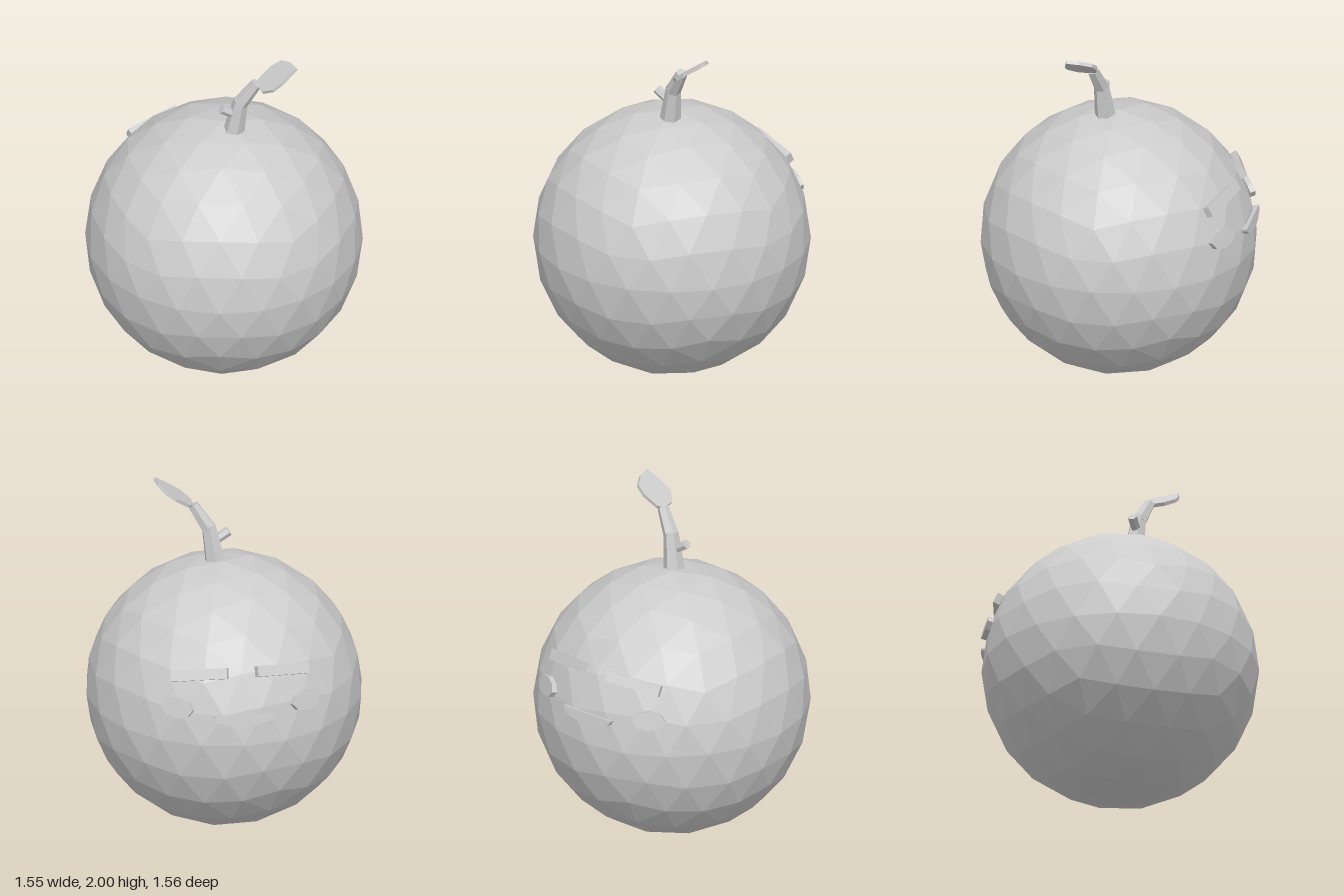
import * as THREE from 'three';

const V = (x, y, z) => new THREE.Vector3(x, y, z);
const R = 0.777;

export function createModel() {
  const group = new THREE.Group();
  const grey = new THREE.MeshStandardMaterial({ color: 0xcccccc, flatShading: true });
  grey.name = 'plain grey';

  const add = (name, geometry) => {
    const mesh = new THREE.Mesh(geometry, grey);
    mesh.name = name;
    group.add(mesh);
    return mesh;
  };
  // Place a mesh with its local x along `along` and local z along `normal`
  const orient = (mesh, pos, along, normal) => {
    const x = along.clone().normalize();
    const z = normal.clone().addScaledVector(x, -normal.dot(x)).normalize();
    mesh.quaternion.setFromRotationMatrix(new THREE.Matrix4().makeBasis(x, z.clone().cross(x), z));
    mesh.position.copy(pos);
  };
  // Tapered prism between two points
  const limb = (name, a, b, r0, r1, sides) => {
    const dir = b.clone().sub(a);
    const mesh = add(name, new THREE.CylinderGeometry(r1, r0, dir.length(), sides));
    mesh.quaternion.setFromUnitVectors(V(0, 1, 0), dir.normalize());
    mesh.position.copy(a).add(b).multiplyScalar(0.5);
  };

  // Body: icosahedron with its poles on y, split twice
  const ring = (y, offset) => Array.from({ length: 5 }, (_, i) => {
    const a = (i + offset) * Math.PI * 0.4, r = 2 / Math.sqrt(5);
    return [r * Math.cos(a), y, r * Math.sin(a)];
  });
  const h = 1 / Math.sqrt(5);
  let points = [[0, 1, 0], ...ring(h, 0), ...ring(-h, 0.5), [0, -1, 0]].flat();
  let faces = [];
  for (let i = 0; i < 5; i++) {
    const u = 1 + i, un = 1 + (i + 1) % 5, l = 6 + i, ln = 6 + (i + 1) % 5;
    faces.push(0, un, u, u, un, l, l, un, ln, 11, l, ln);
  }
  let ball;
  for (let step = 0; step < 2; step++) {
    ball = new THREE.PolyhedronGeometry(points, faces, R, 1);
    points = Array.from(ball.attributes.position.array);
    faces = points.slice(0, points.length / 3).map((_, i) => i);
  }
  ball.computeVertexNormals();
  add('body', ball).position.y = R;

  // Eyes and brows, mirrored, on the back of the ball
  for (const s of [1, -1]) {
    const side = s > 0 ? 'left' : 'right';
    const eyeGeo = new THREE.CylinderGeometry(0.095, 0.095, 0.03, 8);
    eyeGeo.rotateX(Math.PI / 2).scale(1, 0.6, 1);
    orient(add(side + 'Eye', eyeGeo), V(s * 0.36, 0.985, -0.662),
      V(-0.87, 0, -s * 0.49), V(s * 0.36, 0.2, -0.66));
    orient(add(side + 'Brow', new THREE.BoxGeometry(0.32, 0.06, 0.04)), V(s * 0.232, 1.168, -0.637),
      V(-0.305, s * 0.045, -s * 0.1), V(s * 0.23, 0.36, -0.65));
  }

  // Mouth: half ellipse, flat edge up
  const smile = new THREE.Shape();
  smile.absellipse(0, 0, 0.168, 0.065, Math.PI, Math.PI * 2, false, 0);
  smile.closePath();
  const mouthGeo = new THREE.ExtrudeGeometry(smile, { depth: 0.032, bevelEnabled: false, curveSegments: 8 });
  mouthGeo.translate(0, 0.032, -0.016);
  orient(add('mouth', mouthGeo), V(0, 0.928, -0.757), V(-1, 0, 0), V(0, 0.2, -1));

  // Stem in two pieces with a cut twig
  limb('lowerStem', V(0.036, 1.51, 0.066), V(0.074, 1.745, 0.085), 0.062, 0.042, 6);
  limb('upperStem', V(0.068, 1.715, 0.083), V(0.157, 1.86, 0.117), 0.045, 0.033, 6);
  limb('twig', V(0.05, 1.642, 0.08), V(-0.04, 1.7, 0.085), 0.026, 0.028, 6);

  // Leaf: pointed blade along its midrib
  const outline = [[0, 0], [0.03, 0.14], [0.33, 0.43], [0.59, 0.5], [0.85, 0.28], [1, 0],
    [0.64, -0.36], [0.42, -0.49], [0.14, -0.4], [0.02, -0.12]];
  const blade = new THREE.Shape(outline.map(([u, v]) => new THREE.Vector2(u * 0.262, v * 0.205)));
  const leafGeo = new THREE.ExtrudeGeometry(blade, { depth: 0.02, bevelEnabled: false });
  leafGeo.translate(0, 0, -0.012);
  orient(add('leaf', leafGeo), V(0.163, 1.853, 0.115), V(0.2, 0.14, 0.11), V(-0.0316, 0.044, 0.0006));

  return group;
}
